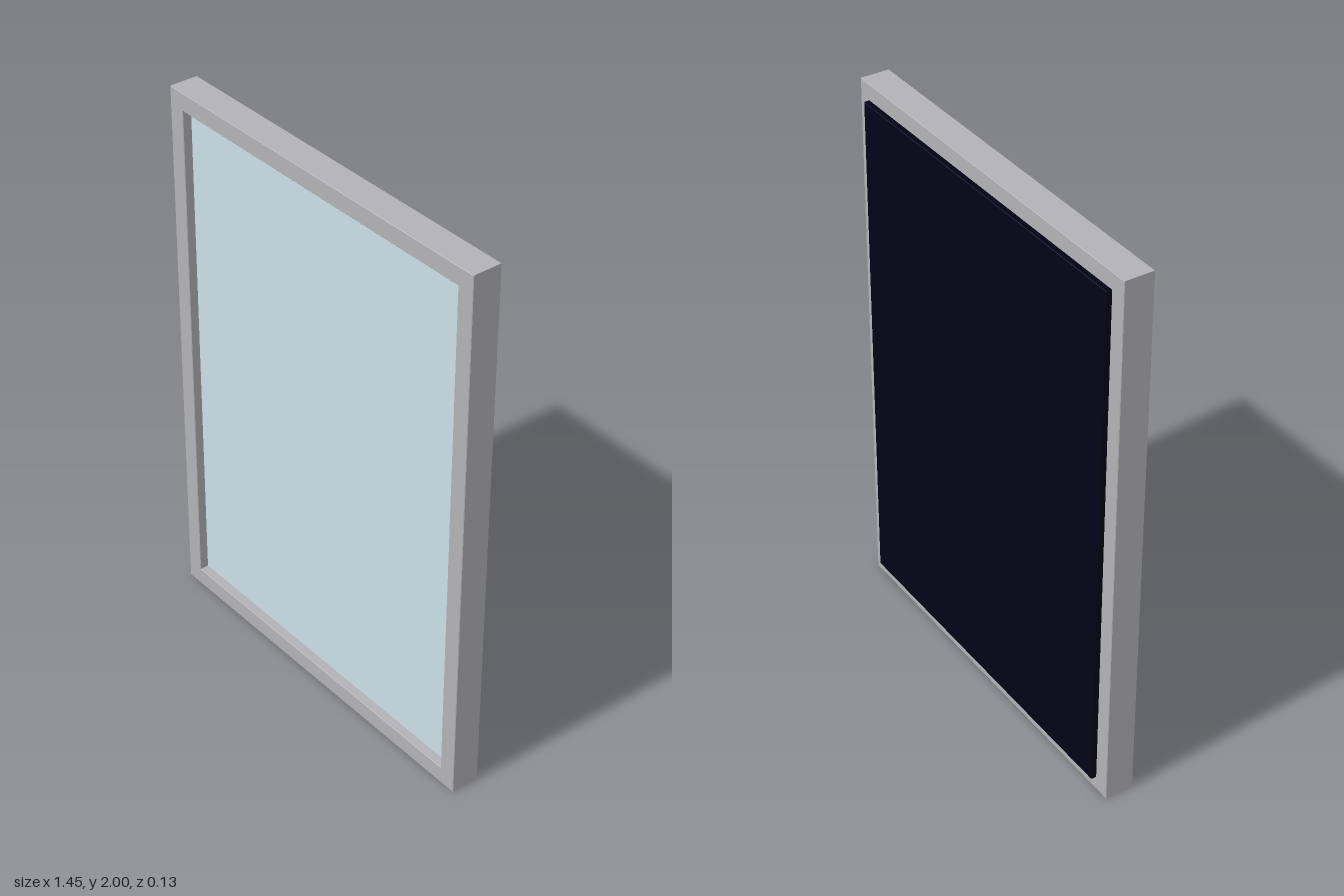
import * as THREE from 'three';

const material = (name, color) => {
  const m = new THREE.MeshStandardMaterial({ color });
  m.name = name;
  return m;
};

// Rectangle corners centred on x = 0 and y = 1
const corners = (w, h) => [[-w, -h], [w, -h], [w, h], [-w, h]]
  .map(([x, y]) => new THREE.Vector2(x, 1 + y));

// Slab from z = back to z = front with chamfered edges, and an optional opening
function slab(w, h, back, front, bevel, opening) {
  const shape = new THREE.Shape(corners(w - bevel, h - bevel));
  if (opening) shape.holes.push(new THREE.Path(corners(opening[0] + bevel, opening[1] + bevel)));
  return new THREE.ExtrudeGeometry(shape, {
    depth: front - back - 2 * bevel, bevelThickness: bevel, bevelSize: bevel, bevelSegments: 1,
  }).translate(0, 0, back + bevel);
}

export function createModel() {
  const group = new THREE.Group();
  group.name = 'framedMirror';
  const frameGrey = material('frame grey', 0xb3b2b6);
  const mirrorBlue = material('mirror pale blue', 0xcbe0e6);
  const backingNavy = material('backing dark navy', 0x020216);

  const add = (name, geometry, mat) => {
    const mesh = new THREE.Mesh(geometry, mat);
    mesh.name = name;
    group.add(mesh);
  };

  // Frame with a rectangular opening and finely chamfered edges
  add('frame', slab(0.727, 1, -0.043, 0.064, 0.002, [0.663, 0.935]), frameGrey);

  // Recessed mirror pane, with a narrow gap to the frame
  add('mirrorPane', new THREE.BoxGeometry(1.312, 1.856, 0.01).translate(0, 1, 0.031), mirrorBlue);

  // Backing board overlapping the rear of the opening
  add('backingBoard', slab(0.672, 0.944, -0.065, -0.043, 0.002), backingNavy);

  return group;
}
